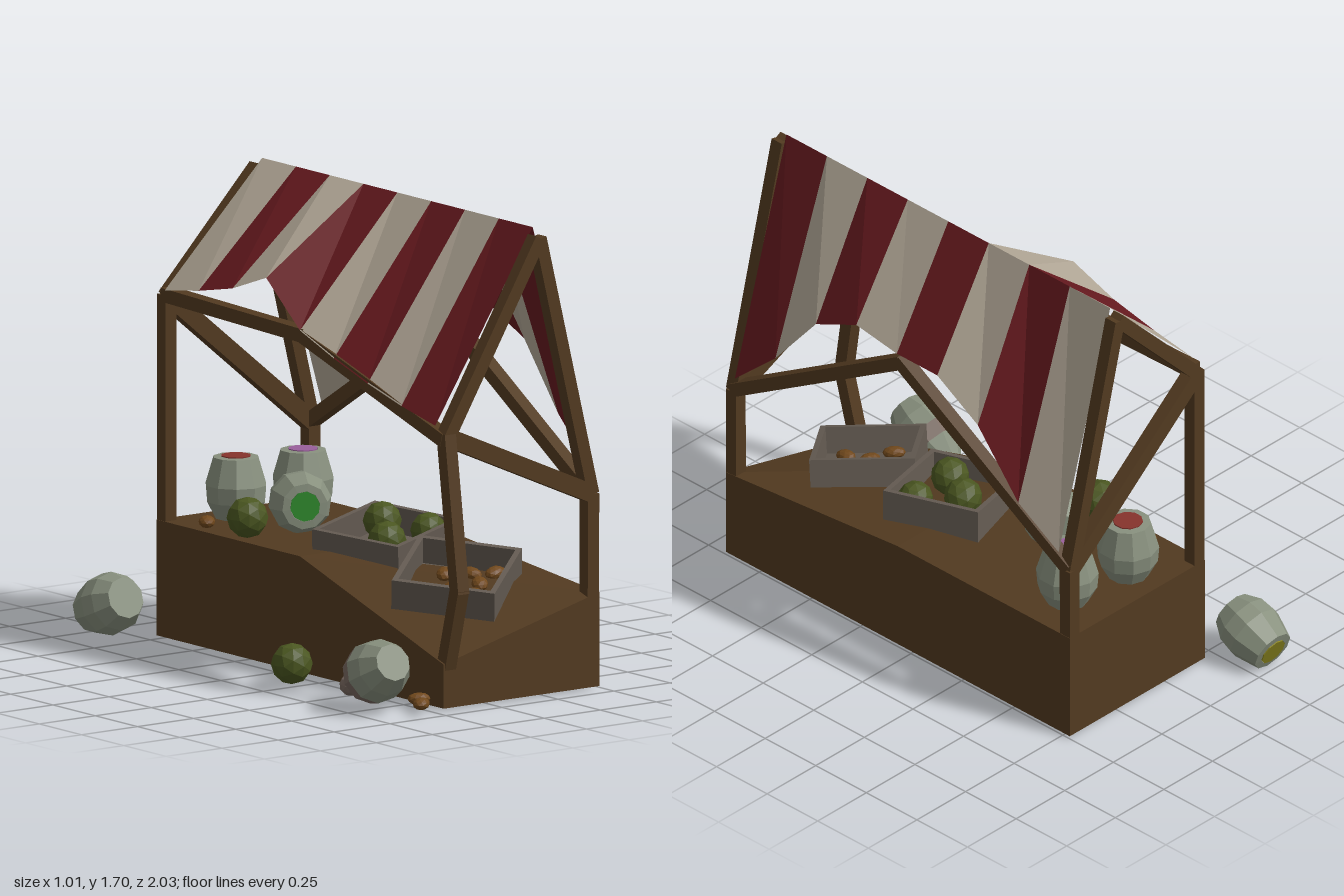
import * as THREE from 'three';

const V = (x, y, z) => new THREE.Vector3(x, y, z);
const mat = (color, side = THREE.FrontSide) => {
  const m = new THREE.MeshStandardMaterial({ flatShading: true, side });
  m.color.set(color);
  return m;
};
const WOOD = mat(0x523a20), RED = mat(0x681a1f, THREE.DoubleSide), CREAM = mat(0xb5aa99, THREE.DoubleSide);
const CLAY = mat(0x88907e), BAND = mat(0x78685f), CRATE = mat(0x645b52);
const MELON = mat(0x4a5620), LOAF = mat(0x70481c);

function add(parent, name, geometry, material, pos) {
  const m = new THREE.Mesh(geometry, material);
  m.name = name;
  if (pos) m.position.copy(pos);
  parent.add(m);
  return m;
}

// square timber running from a to b
function beam(parent, name, a, b, w = 0.05, h = 0.05) {
  const m = add(parent, name, new THREE.BoxGeometry(w, h, a.distanceTo(b)), WOOD, a.clone().lerp(b, 0.5));
  if (Math.abs(b.y - a.y) > 0.95 * a.distanceTo(b)) m.up.set(0, 0, 1);
  m.lookAt(b);
}

function quads(list) {
  const p = [];
  for (const [a, b, c, d] of list) for (const v of [a, b, c, a, c, d]) p.push(v.x, v.y, v.z);
  const g = new THREE.BufferGeometry();
  g.setAttribute('position', new THREE.Float32BufferAttribute(p, 3));
  g.computeVertexNormals();
  return g;
}

// counter height, level at the back and sagging toward the front left
function counterY(x, z) {
  const t = Math.max(0, (z - 0.07) / 0.85);
  return 0.42 + t * (0.16 + 0.18 * (x + 0.2) / 0.69 - 0.42);
}

function counter(parent) {
  const loops = [0.92, 0.07, -0.78].map(z => [
    V(-0.2, 0, z), V(0.495, 0, z), V(0.495, counterY(0.495, z), z), V(-0.2, counterY(-0.2, z), z)]);
  const faces = [loops[0], [...loops[2]].reverse()];
  for (let i = 0; i < 2; i++) for (let j = 0; j < 4; j++) {
    const k = (j + 1) % 4, f = loops[i], b = loops[i + 1];
    faces.push([f[j], b[j], b[k], f[k]]);
  }
  add(parent, 'counter', quads(faces), WOOD);
}

function frame(parent) {
  const g = new THREE.Group();
  g.name = 'frame';
  parent.add(g);
  const ends = [{ n: 'front', z: 0.895, left: 0.98 }, { n: 'back', z: -0.755, left: 1.23 }];
  for (const { n, z, left } of ends) {
    const L = V(-0.172, left, z), R = V(0.47, 0.7, z), top = V(0.235, 1.655, z);
    beam(g, n + 'LeftRafter', L, top);
    beam(g, n + 'RightRafter', R, top);
    beam(g, n + 'Tie', L, R, 0.05, 0.065);
    beam(g, n + 'RightPost', V(0.468, 0.3, z), R);
  }
  beam(g, 'backLeftPost', V(-0.172, 0.4, -0.755), V(-0.172, 1.24, -0.755));
  // front left post is bent outward
  beam(g, 'bentPostLower', V(-0.17, 0.14, 0.895), V(-0.17, 0.44, 0.975));
  beam(g, 'bentPostUpper', V(-0.17, 0.42, 0.975), V(-0.17, 0.99, 0.895));
  // side beams lifted at mid length
  beam(g, 'leftSideBeam', V(-0.172, 0.97, 0.9), V(-0.172, 1.22, 0.06));
  beam(g, 'leftSideBeam', V(-0.172, 1.22, 0.08), V(-0.172, 1.24, -0.76));
  beam(g, 'rightSideBeam', V(0.47, 0.7, 0.9), V(0.47, 1.21, 0.06));
  beam(g, 'rightSideBeam', V(0.47, 1.21, 0.08), V(0.47, 0.7, -0.76));
}

function canopy(parent) {
  const g = new THREE.Group();
  g.name = 'canopy';
  parent.add(g);
  const left = [1.02, 1.06, 1.11, 1.17, 1.24, 1.4, 1.33, 1.29, 1.26];
  const right = [0.77, 0.95, 1.19, 1.28, 1.25, 1.25, 1.13, 0.89, 0.77];
  for (let i = 0; i < 8; i++) {
    const z = 0.87 - 0.2 * i, y = 1.69, e = z - 0.2;
    const r0 = V(0.235, y, z), r1 = V(0.235, y, e);
    add(g, 'canopyStripe', quads([
      [V(-0.2, left[i], z), r0, r1, V(-0.2, left[i + 1], e)],
      [r0, V(0.5, right[i], z), V(0.5, right[i + 1], e), r1]]), i % 2 ? CREAM : RED);
  }
}

const lathe = pts => new THREE.LatheGeometry(pts.map(p => new THREE.Vector2(...p)), 10);

// barrel-shaped jar; origin at its middle, mouth along dir
function pot(parent, name, pos, dir, fill) {
  const g = new THREE.Group();
  g.name = name;
  add(g, 'jar', lathe([[0, -0.112], [0.075, -0.112], [0.108, -0.05], [0.113, 0.01], [0.083, 0.11], [0.055, 0.112], [0.05, 0.1]]), CLAY);
  add(g, 'contents', new THREE.CylinderGeometry(0.054, 0.054, 0.015, 10), mat(fill), V(0, 0.108, 0));
  g.position.copy(pos);
  g.quaternion.setFromUnitVectors(V(0, 1, 0), dir.normalize());
  parent.add(g);
}

function vase(parent) {
  const g = new THREE.Group();
  g.name = 'fallenVase';
  add(g, 'vaseBase', lathe([[0, -0.16], [0.068, -0.16], [0.105, -0.09], [0.115, -0.02]]), CLAY);
  add(g, 'vaseBand', lathe([[0.115, -0.02], [0.102, 0.035]]), BAND);
  add(g, 'vaseShoulder', lathe([[0.102, 0.035], [0.055, 0.1], [0.028, 0.14], [0, 0.14]]), CLAY);
  add(g, 'stopper', new THREE.IcosahedronGeometry(0.04, 1), BAND, V(0, 0.165, 0));
  g.position.set(-0.395, 0.125, 0.755);
  g.quaternion.setFromUnitVectors(V(0, 1, 0), V(0.1, -0.4, -0.9).normalize());
  parent.add(g);
}

// open crate lying on the counter, corner at a, sides toward b and d (x, z pairs)
function crate(parent, name, a, b, d) {
  const on = ([x, z]) => V(x, counterY(x, z), z);
  const A = on(a), B = on(b), D = on(d);
  const u = B.clone().sub(A).normalize();
  const n = u.clone().cross(D.clone().sub(A)).normalize();
  const w = u.clone().cross(n);
  const g = new THREE.Group();
  g.name = name;
  g.position.copy(B).add(D).multiplyScalar(0.5);
  g.quaternion.setFromRotationMatrix(new THREE.Matrix4().makeBasis(u, n, w));
  const s = 0.38, h = 0.12, t = 0.02;
  add(g, 'crateFloor', new THREE.BoxGeometry(s, t, s), CRATE, V(0, t / 2, 0));
  for (const k of [-1, 1]) {
    add(g, 'crateSide', new THREE.BoxGeometry(s, h, t), CRATE, V(0, h / 2, k * (s - t) / 2));
    add(g, 'crateEnd', new THREE.BoxGeometry(t, h, s - 2 * t), CRATE, V(k * (s - t) / 2, h / 2, 0));
  }
  parent.add(g);
  return g;
}

const melon = (parent, x, y, z, r = 0.075) => add(parent, 'melon', new THREE.IcosahedronGeometry(r, 1), MELON, V(x, y, z));

function loaf(parent, x, y, z, turn) {
  const m = add(parent, 'loaf', new THREE.IcosahedronGeometry(0.03, 1), LOAF, V(x, y, z));
  m.scale.set(1.4, 0.75, 1);
  m.rotation.y = turn;
}

export function createModel() {
  const root = new THREE.Group();
  root.name = 'marketStall';
  counter(root);
  frame(root);
  canopy(root);

  // jars
  pot(root, 'rightJar', V(0.32, 0.532, -0.6), V(0, 1, 0), 0x9a5f9c);
  pot(root, 'leftJar', V(0.05, 0.532, -0.64), V(0, 1, 0), 0x86332c);
  pot(root, 'tippedJar', V(0.08, 0.525, -0.3), V(-0.45, 0.05, 0.85), 0x2f8a2c);
  pot(root, 'fallenJar', V(-0.325, 0.11, -0.895), V(0.03, -0.35, -0.93), 0x8a8420);
  vase(root);

  // crates and produce
  const loafCrate = crate(root, 'loafCrate', [0.09, 0.83], [0.39, 0.6], [-0.14, 0.53]);
  for (const [x, z, turn] of [[0.02, 0.08, 0.4], [0.09, 0.03, 1.2], [0.06, -0.06, 0.1], [-0.03, 0, 2.2], [-0.07, 0.09, 0.8], [0.12, 0.11, 2.6], [-0.1, -0.08, 1.6]])
    loaf(loafCrate, x, 0.045, z, turn);
  crate(root, 'melonCrate', [0.39, 0.24], [0.28, -0.12], [0.03, 0.35]);
  melon(root, 0.09, 0.465, 0.2, 0.07);
  melon(root, 0.19, 0.5, 0.04, 0.07);
  melon(root, 0.29, 0.475, 0.18, 0.065);
  melon(root, -0.14, 0.493, -0.32);
  melon(root, -0.365, 0.077, 0.24);
  loaf(root, -0.25, 0.03, 0.84, -0.4);
  loaf(root, -0.3, 0.03, 0.92, 0.7);
  loaf(root, -0.14, 0.44, -0.56, 0.9);
  return root;
}
